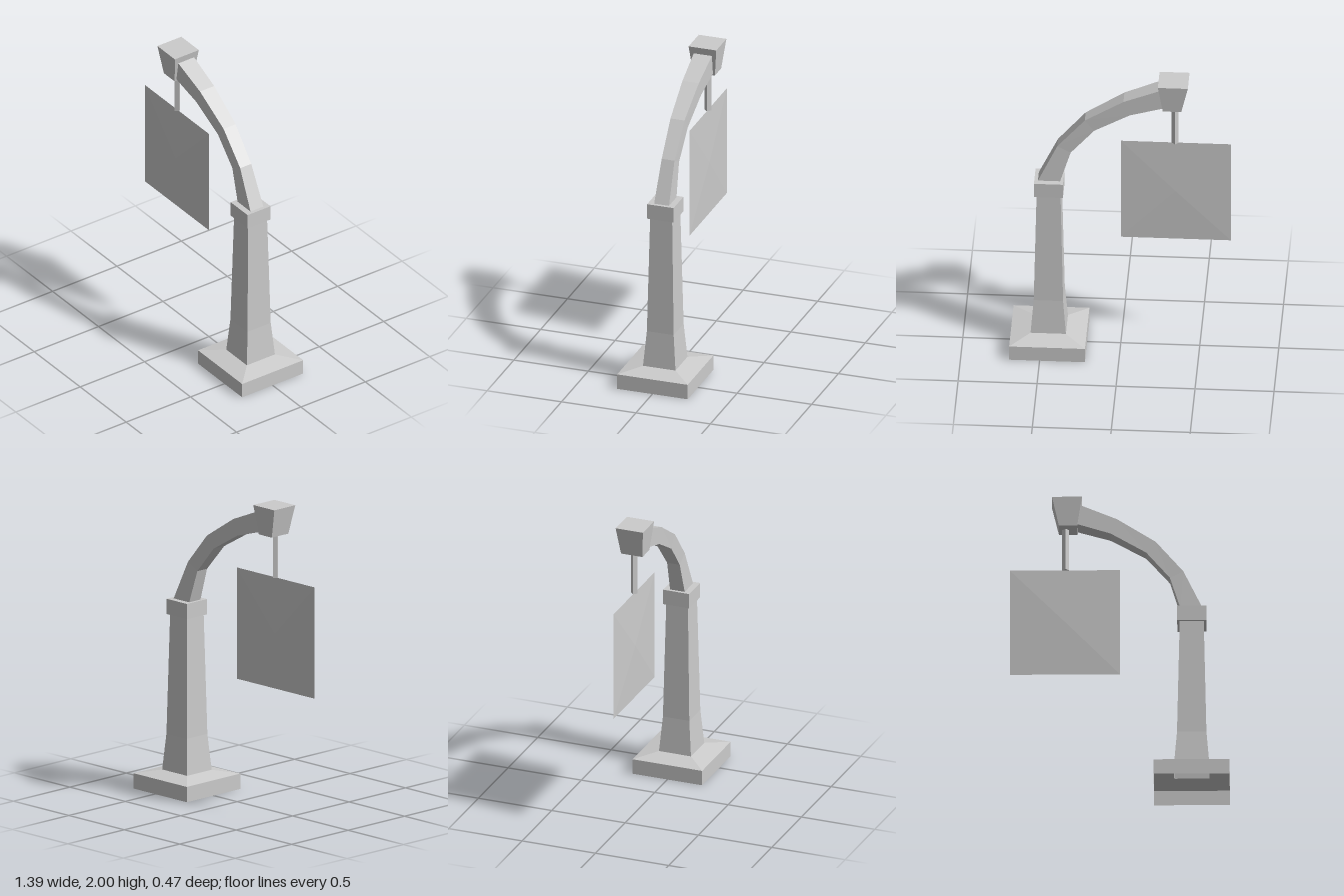
import * as THREE from 'three';

const stone = new THREE.MeshStandardMaterial({ color: 0xcccccc, side: THREE.DoubleSide, flatShading: true });
stone.name = 'plain grey';

// Skins a row of four-cornered rings, with optional end caps.
function loft(rings, capStart, capEnd) {
  const pos = [];
  const quad = (a, b, c, d) => pos.push(...a, ...b, ...c, ...a, ...c, ...d);
  for (let i = 0; i < rings.length - 1; i++) {
    const lo = rings[i], hi = rings[i + 1];
    for (let k = 0; k < 4; k++) {
      const n = (k + 1) % 4;
      quad(lo[k], lo[n], hi[n], hi[k]);
    }
  }
  const first = rings[0], last = rings[rings.length - 1];
  if (capStart) quad(first[3], first[2], first[1], first[0]);
  if (capEnd) quad(...last);
  const g = new THREE.BufferGeometry();
  g.setAttribute('position', new THREE.Float32BufferAttribute(pos, 3));
  g.computeVertexNormals();
  return g;
}

// Ring between a left and a right edge, mirrored in z.
const ring = (xl, yl, xr, yr, hz) => [[xl, yl, hz], [xr, yr, hz], [xr, yr, -hz], [xl, yl, -hz]];
// Level rectangular ring.
const level = (x, y, hx, hz) => ring(x - hx, y, x + hx, y, hz);

export function createModel() {
  const group = new THREE.Group();
  group.name = 'hangingSignPost';
  const add = (name, geometry) => {
    const mesh = new THREE.Mesh(geometry, stone);
    mesh.name = name;
    group.add(mesh);
    return mesh;
  };
  const postX = 0.453;

  // Plinth, open underneath, with a sloped top
  add('base', loft([
    level(postX, 0, 0.24, 0.237),
    level(postX, 0.1, 0.24, 0.237),
    level(postX, 0.125, 0.112, 0.109),
  ]));

  // Tapered column
  add('column', loft([
    level(postX, 0.125, 0.112, 0.109),
    level(postX, 0.36, 0.093, 0.09),
    level(postX, 1.14, 0.076, 0.074),
  ]));

  // Collar on the column
  add('collar', new THREE.BoxGeometry(0.184, 0.1, 0.178)).position.set(postX, 1.19, 0);

  // Curved arm: inner edge, outer edge, half depth
  add('arm', loft([
    ring(0.383, 1.235, 0.524, 1.235, 0.05),
    ring(0.315, 1.455, 0.4, 1.5, 0.043),
    ring(0.165, 1.63, 0.225, 1.705, 0.047),
    ring(-0.06, 1.76, -0.02, 1.86, 0.055),
    ring(-0.275, 1.825, -0.25, 1.955, 0.061),
  ], true, true));

  // Flared block at the end of the arm
  add('armCap', loft([
    ring(-0.387, 1.81, -0.27, 1.81, 0.073),
    ring(-0.43, 2, -0.24, 2, 0.093),
  ], true, true));

  // Hanging rod, square and turned on edge
  add('rod', new THREE.CylinderGeometry(0.022, 0.022, 0.285, 4)).position.set(-0.344, 1.672, 0);

  // Thin sign board, slightly raised to its centre on both faces
  const x0 = -0.697, x1 = 0, y0 = 0.803, y1 = 1.53;
  const peak = (z) => Array(4).fill([(x0 + x1) / 2, (y0 + y1) / 2, z]);
  add('signBoard', loft([
    peak(-0.009),
    [[x0, y0, 0], [x1, y0, 0], [x1, y1, 0], [x0, y1, 0]],
    peak(0.009),
  ]));

  return group;
}
